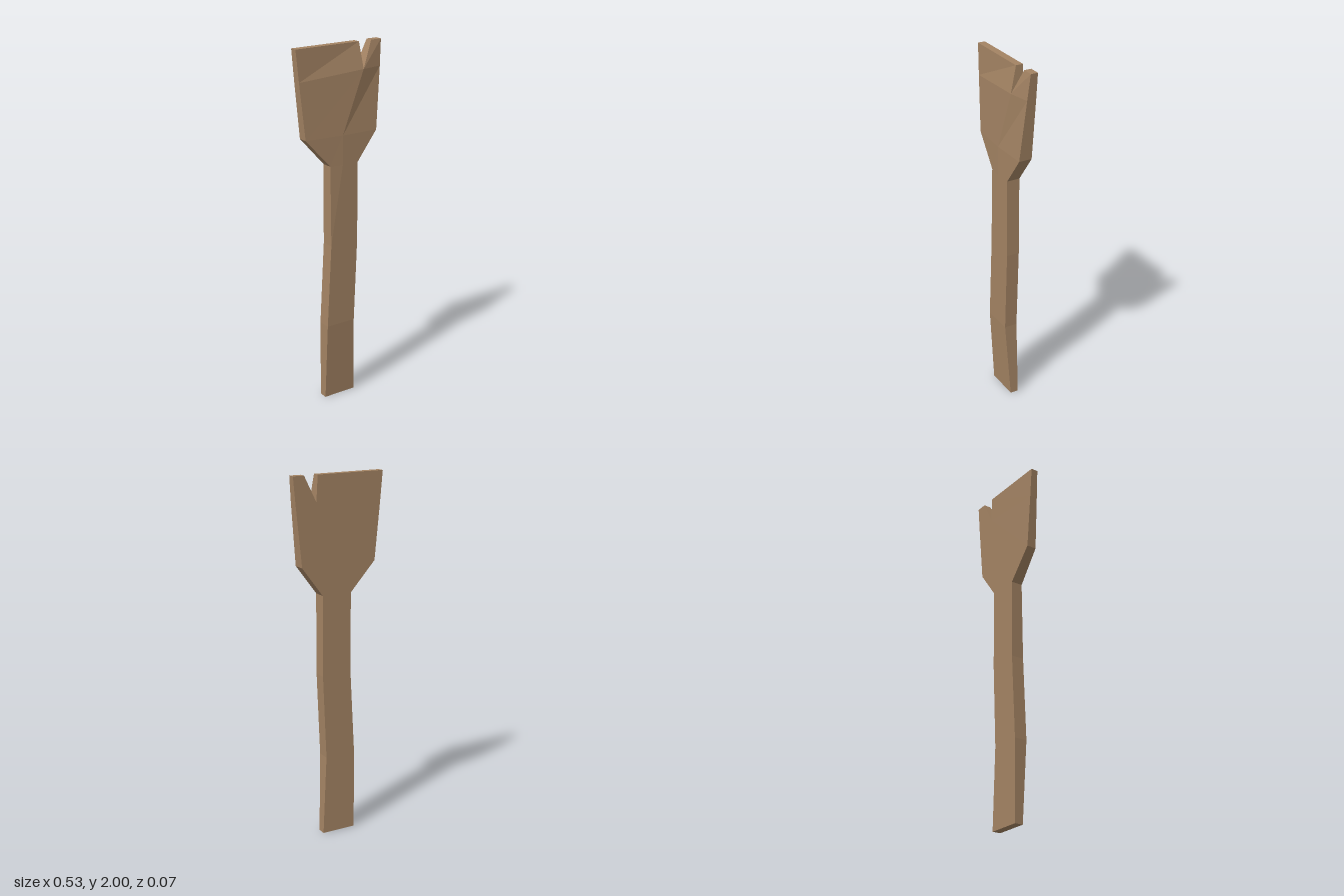
import * as THREE from 'three';

const BACK = -0.037;

// Outline counter-clockwise from the foot: x, y and depth of the front edge
const outline = [
  [-0.10, 0, 0.01], [0.095, 0, 0.01],              // 0-1 foot
  [0.075, 0.45, 0.036], [0.095, 0.92, 0.036],      // 2-3 bent handle
  [0.095, 1.365, 0.036], [0.215, 1.525, 0.036],    // 4-5 neck, shoulder
  [0.25, 1.86, 0.014], [0.263, 2, 0.003],          // 6-7 narrow prong
  [0.20, 2, 0.003], [0.13, 1.86, 0.036], [0.122, 2, 0.003], // 8-10 notch
  [-0.265, 2, 0.003], [-0.25, 1.83, 0.008],        // 11-12 wide blade
  [-0.22, 1.525, 0.018], [-0.075, 1.365, 0.029],   // 13-14 shoulder, neck
  [-0.075, 0.92, 0.036], [-0.10, 0.45, 0.036],     // 15-16 bent handle
];
// Two inner points where the carved facets of the front meet
const points = [...outline, [0, 1.525, 0.036], [0, 1.365, 0.036]];

const handleFaces = [[0, 1, 2, 16], [16, 2, 3, 15], [15, 3, 4, 18], [15, 18, 14]];
const bladeFaces = [
  [14, 18, 17, 13], [18, 4, 5, 17], [13, 17, 9, 12],
  [12, 9, 10, 11], [17, 5, 6, 9], [9, 6, 7, 8],
];

// Faceted slab: front faces, the same faces flat on the back, and rim walls
function slab(name, faces, rim, material) {
  const pos = [];
  const front = (i) => points[i];
  const back = (i) => [points[i][0], points[i][1], BACK];
  const tri = (a, b, c) => pos.push(...a, ...b, ...c);
  for (const f of faces) {
    for (let k = 1; k < f.length - 1; k++) {
      tri(front(f[0]), front(f[k]), front(f[k + 1]));
      tri(back(f[0]), back(f[k + 1]), back(f[k]));
    }
  }
  for (const i of rim) {
    const j = (i + 1) % outline.length;
    tri(front(i), back(i), back(j));
    tri(front(i), back(j), front(j));
  }
  const geometry = new THREE.BufferGeometry();
  geometry.setAttribute('position', new THREE.Float32BufferAttribute(pos, 3));
  geometry.computeVertexNormals();
  const mesh = new THREE.Mesh(geometry, material);
  mesh.name = name;
  return mesh;
}

export function createModel() {
  const group = new THREE.Group();
  group.name = 'woodenPaddle';
  const wood = new THREE.MeshStandardMaterial({ color: 0xa38363 });
  wood.name = 'wood';
  group.add(
    slab('handle', handleFaces, [0, 1, 2, 3, 14, 15, 16], wood),
    slab('notchedBlade', bladeFaces, [4, 5, 6, 7, 8, 9, 10, 11, 12, 13], wood),
  );
  return group;
}
